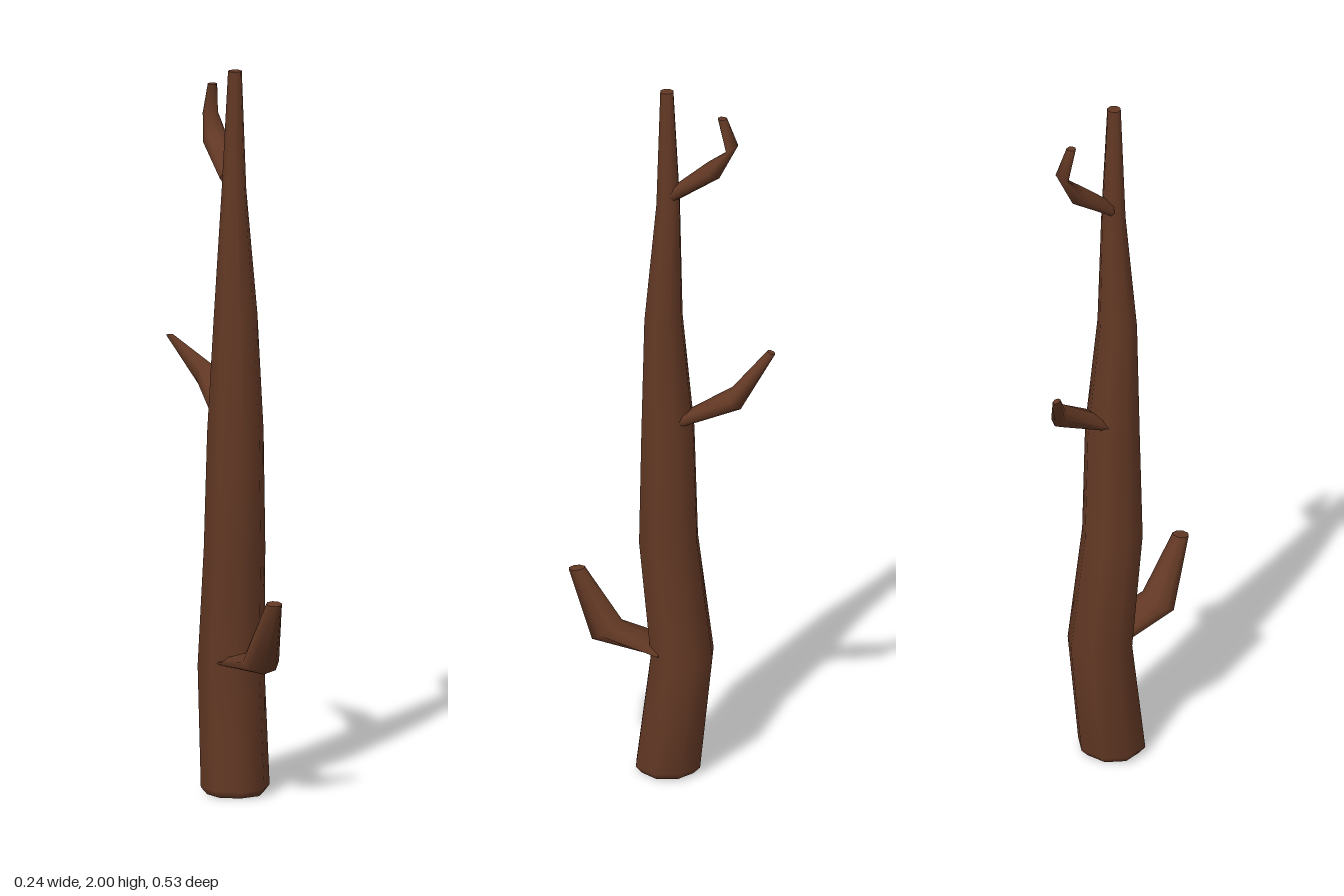
import * as THREE from 'three';

const SIDES = 8;

// Smooth tube through elliptical rings, with flat end caps.
// Each ring: centre x, y, z, half-width along x, then the y and z of its other half-axis.
function loft(name, rings, material) {
  const pos = [], index = [];
  const addRing = ([cx, cy, cz, rx, vy, vz]) => {
    const start = pos.length / 3;
    for (let i = 0; i < SIDES; i++) {
      const a = (i / SIDES) * Math.PI * 2, c = Math.cos(a), s = Math.sin(a);
      pos.push(cx + rx * c, cy + vy * s, cz + vz * s);
    }
    return start;
  };
  const starts = rings.map(addRing);
  for (let r = 0; r < rings.length - 1; r++) {
    for (let i = 0; i < SIDES; i++) {
      const j = (i + 1) % SIDES, a = starts[r], b = starts[r + 1];
      index.push(a + i, a + j, b + j, a + i, b + j, b + i);
    }
  }
  // caps have their own vertices so the rims stay sharp
  const cap = (ring, flip) => {
    const s = addRing(ring);
    for (let i = 1; i < SIDES - 1; i++) {
      if (flip) index.push(s, s + i + 1, s + i);
      else index.push(s, s + i, s + i + 1);
    }
  };
  cap(rings[0], true);
  cap(rings[rings.length - 1], false);
  const geo = new THREE.BufferGeometry();
  geo.setAttribute('position', new THREE.Float32BufferAttribute(pos, 3));
  geo.setIndex(index);
  geo.computeVertexNormals();
  const mesh = new THREE.Mesh(geo, material);
  mesh.name = name;
  return mesh;
}

export function createModel() {
  const bark = new THREE.MeshStandardMaterial({ color: 0x623824 });
  bark.name = 'brown bark';
  const group = new THREE.Group();
  group.name = 'bareTree';

  // trunk: tapering, leaning back near the bottom
  group.add(loft('trunk', [
    [0.022, 0, -0.005, 0.078, 0, -0.075],
    [0.022, 0.02, -0.006, 0.095, 0, -0.094],
    [0.018, 0.35, -0.045, 0.092, 0, -0.09],
    [0.02, 0.68, -0.005, 0.085, 0, -0.085],
    [0.022, 1.0, -0.004, 0.078, 0, -0.076],
    [0.02, 1.33, 0.01, 0.06, 0, -0.053],
    [0.018, 1.67, -0.003, 0.034, 0, -0.034],
    [0.02, 2.0, 0, 0.019, 0, -0.019],
  ], bark));

  // low branch: reaches forward, then bends up
  group.add(loft('lowerBranch', [
    [0.03, 0.362, -0.01, 0.075, 0.01, 0],
    [0.06, 0.397, 0.16, 0.05, 0.028, -0.04],
    [0.08, 0.572, 0.241, 0.022, 0.003, -0.023],
  ], bark));

  // middle branch: reaches back, then to the right
  group.add(loft('middleBranch', [
    [0.02, 1.037, -0.04, 0.055, -0.018, 0],
    [-0.015, 1.115, -0.192, 0.036, -0.031, -0.012],
    [-0.11, 1.223, -0.252, 0.01, -0.004, -0.011],
  ], bark));

  // top branch: rises backward and hooks up at the tip
  group.add(loft('upperBranch', [
    [0.015, 1.7, -0.02, 0.033, -0.02, -0.005],
    [-0.007, 1.78, -0.127, 0.036, -0.021, -0.017],
    [-0.012, 1.85, -0.18, 0.021, 0.01, -0.016],
    [-0.012, 1.935, -0.151, 0.013, 0, -0.013],
  ], bark));

  return group;
}
